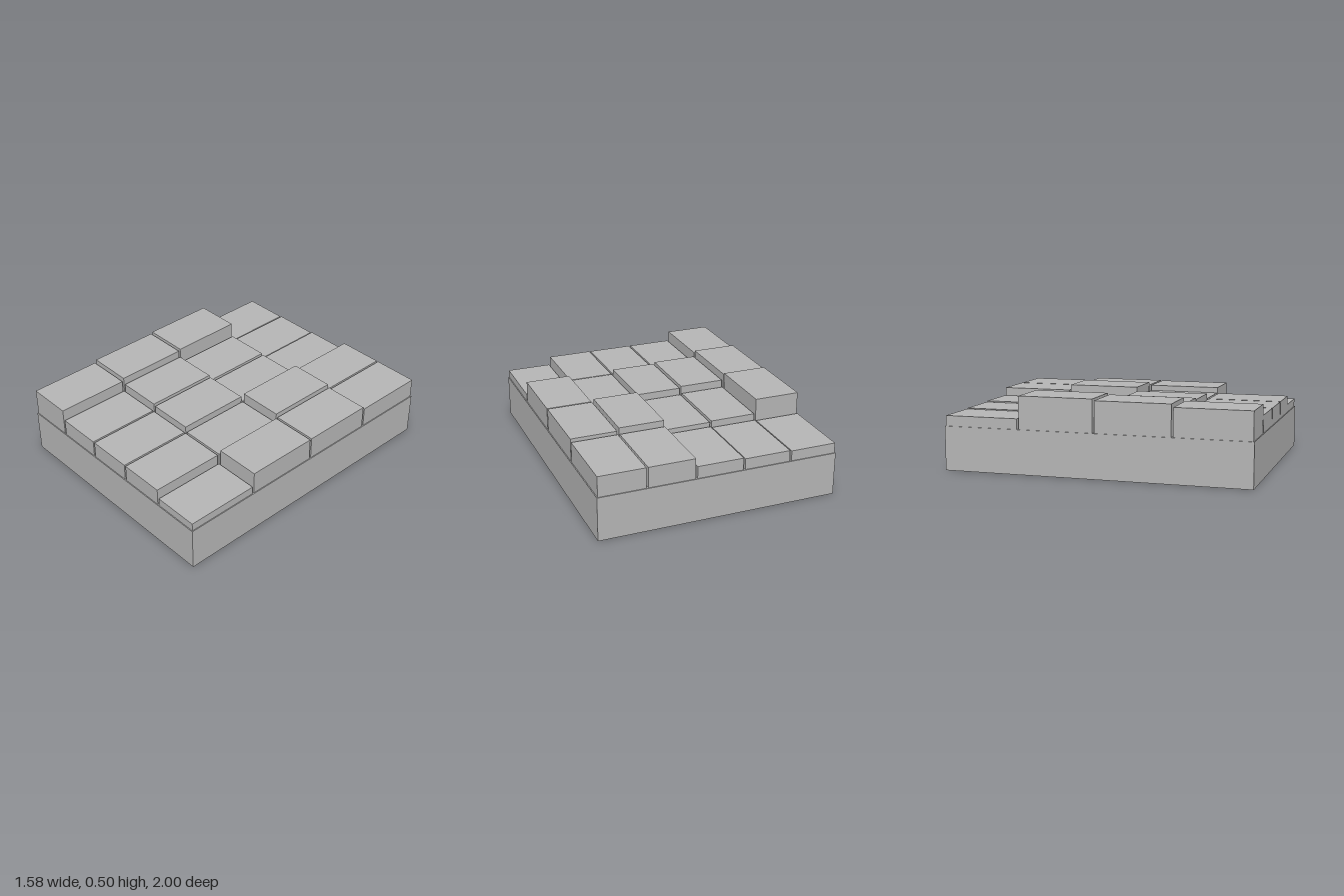
import * as THREE from 'three';

const WIDTH = 1.58, LENGTH = 2, BASE_HEIGHT = 0.287, GAP = 0.012;

// Top height of each block: rows run front to back, columns from -x to +x
const HEIGHTS = [
  [0.47, 0.4, 0.4, 0.4, 0.34],
  [0.49, 0.447, 0.436, 0.402, 0.438],
  [0.5, 0.4, 0.393, 0.46, 0.44],
  [0.355, 0.36, 0.367, 0.422, 0.422],
];

export function createModel() {
  const group = new THREE.Group();
  const stone = new THREE.MeshStandardMaterial({ color: 0xb4b4b4 });
  stone.name = 'grey stone';

  function box(name, w, h, d, x, y, z) {
    const mesh = new THREE.Mesh(new THREE.BoxGeometry(w, h, d), stone);
    mesh.name = name;
    mesh.position.set(x, y + h / 2, z);
    group.add(mesh);
  }

  // Slab under the blocks
  box('base', WIDTH, BASE_HEIGHT, LENGTH, 0, 0, 0);

  // Grid of paving blocks with narrow joints between them
  const rows = HEIGHTS.length, columns = HEIGHTS[0].length;
  const cellX = WIDTH / columns, cellZ = LENGTH / rows;
  HEIGHTS.forEach((row, r) => row.forEach((top, c) => {
    box(`block row ${r + 1} column ${c + 1}`,
      cellX - GAP, top - BASE_HEIGHT, cellZ - GAP,
      (c + 0.5) * cellX - WIDTH / 2, BASE_HEIGHT, LENGTH / 2 - (r + 0.5) * cellZ);
  }));

  return group;
}
